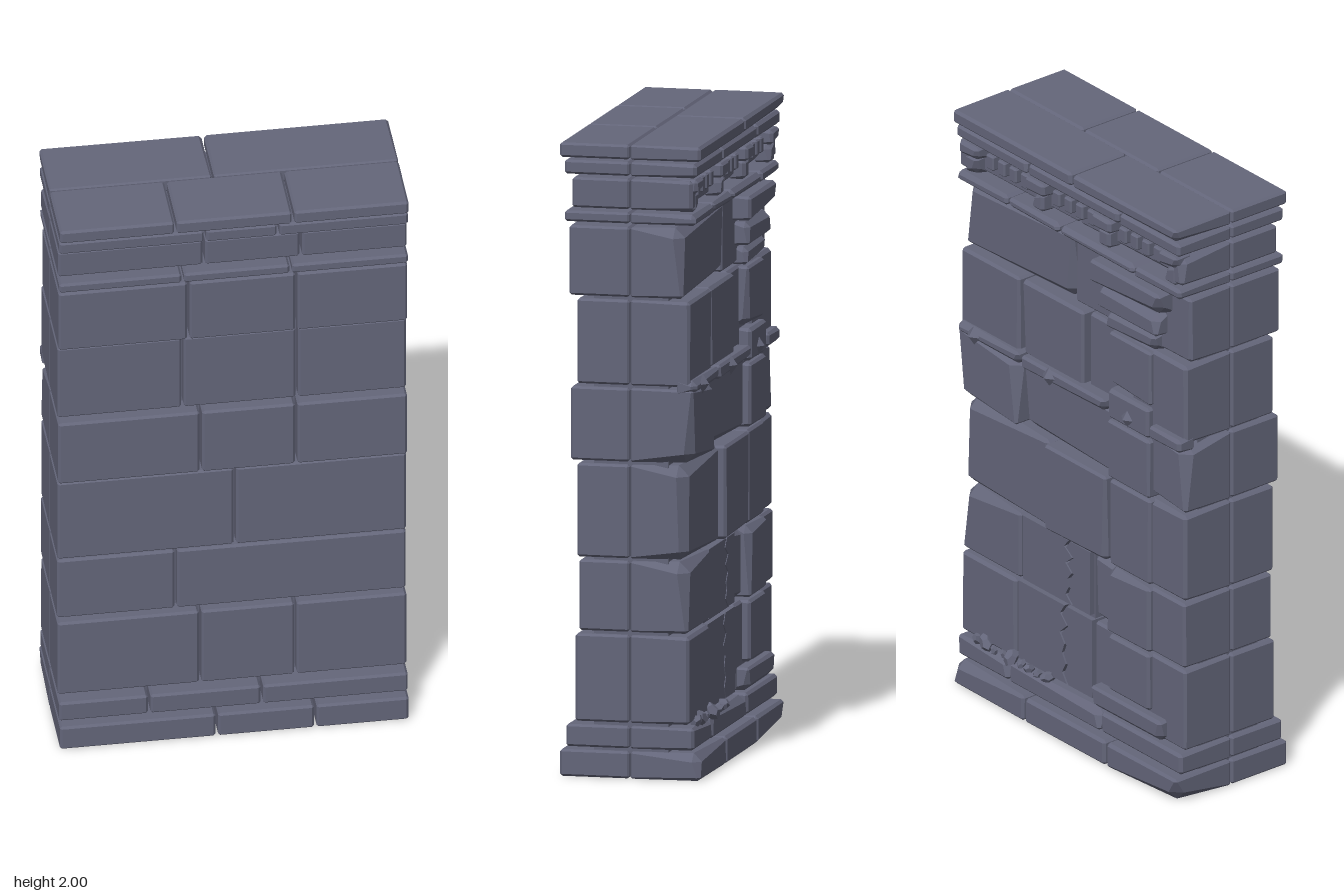
import * as THREE from 'three';
import { ConvexGeometry } from 'three/addons/geometries/ConvexGeometry.js';

const stone = new THREE.MeshStandardMaterial({ color: 0x64667a, flatShading: true });

let seed = 7;
const rand = () => (seed = (seed * 16807) % 2147483647) / 2147483647;

function add(parent, geometry, name) {
  const mesh = new THREE.Mesh(geometry, stone);
  mesh.name = name;
  parent.add(mesh);
  return mesh;
}

// Chamfered stone: each corner has its own cut, so a big cut reads as a chip.
function block(parent, name, [x0, x1], [y0, y1], [z0, z1], cut = () => 0.007) {
  const pts = [];
  const limit = Math.min(x1 - x0, y1 - y0, z1 - z0) * 0.4;
  for (const i of [0, 1]) for (const j of [0, 1]) for (const k of [0, 1]) {
    const c = Math.min(limit, cut(i, j, k));
    const inset = (ax, ay, az) => new THREE.Vector3(
      i ? x1 - ax : x0 + ax, j ? y1 - ay : y0 + ay, k ? z1 - az : z0 + az);
    pts.push(inset(0, c, c), inset(c, 0, c), inset(c, c, 0));
  }
  return add(parent, new ConvexGeometry(pts), name);
}

// Worn edges on the decorated back: outer corners get random chips.
const worn = (i, j, k) => (k ? 0.005 : rand() < 0.22 ? 0.016 + rand() * 0.02 : 0.007 + rand() * 0.004);

// One row of stones from x = -0.55 to 0.55, split at the joints.
function row(parent, name, y, joints, span, cut, skip = -1) {
  const xs = [-0.553, ...joints, 0.553];
  for (let i = 0; i < xs.length - 1; i++) {
    if (i === skip) continue;
    const z = typeof span[0] === 'number' ? span : span[i];
    block(parent, name, [xs[i] + 0.004, xs[i + 1] - 0.004], y, z, cut);
  }
}

// A stone split in two by a jagged crack.
function crackedBlock(parent, x0, x1, y0, y1, xc, depth) {
  const crack = [];
  for (let i = 0; i <= 8; i++) {
    crack.push([xc + (i % 2 ? 0.014 : -0.012) + (rand() - 0.5) * 0.02, y0 + (y1 - y0) * i / 8]);
  }
  for (const side of [-1, 1]) {
    const edge = side < 0 ? x0 + 0.004 : x1 - 0.004;
    const pts = [[edge, y0], ...crack.map(([x, y]) => [x + side * 0.005, y]), [edge, y1]];
    const shape = new THREE.Shape(pts.map(([x, y]) => new THREE.Vector2(x, y)));
    const geo = new THREE.ExtrudeGeometry(shape, { depth: depth - 0.003, bevelEnabled: false });
    geo.translate(0, 0, -depth);
    add(parent, geo, 'crackedStone');
  }
}

export function createModel() {
  seed = 7;
  const model = new THREE.Group();
  model.name = 'stoneWall';
  const group = name => {
    const g = new THREE.Group();
    g.name = name;
    model.add(g);
    return g;
  };

  // Hidden fill behind the joints
  add(model, new THREE.BoxGeometry(1.06, 1.68, 0.24).translate(0, 0.88, 0), 'core');

  // Courses: y range, front depth, front joints, back depth(s), back joints
  const courses = [
    [[0, 0.085], 0.225, [-0.055, 0.255], 0.225, [-0.2, 0.2]],
    [[0.095, 0.165], 0.205, [-0.265, 0.09], 0.205, [-0.15, 0.3]],
    [[0.176, 0.452], 0.175, [-0.1, 0.2], [0.187, 0.178, 0.18, 0.19], [-0.28, -0.09, 0.28]],
    [[0.463, 0.686], 0.163, [-0.175], [0.19, 0.175, 0.18, 0.186], [-0.28, -0.08, 0.26]],
    [[0.695, 0.99], 0.17, [0.01], [0.187, 0.205, 0.183], [-0.18, 0.13]],
    [[1.0, 1.232], 0.19, [-0.1, 0.2], [0.186, 0.18, 0.203], [-0.28, 0.26]],
    [[1.242, 1.51], 0.17, [-0.155, 0.205], [0.185, 0.168, 0.188, 0.192], [-0.28, -0.05, 0.26]],
    [[1.52, 1.74], 0.195, [-0.14, 0.2], [0.165, 0.165, 0.17], [-0.28, 0.02]],
    [[1.752, 1.786], 0.21, [-0.16, 0.18], 0.21, [-0.32, 0.05, 0.3]],
    [[1.797, 1.892], 0.185, [-0.09, 0.215], [0.2, 0.165, 0.165, 0.2], [-0.49, 0, 0.49]],
    [[1.902, 1.946], 0.21, [-0.09, 0.14], 0.213, [-0.25, 0.2]],
    [[1.954, 2.0], 0.225, [-0.185, 0.185], 0.226, [-0.035]],
  ];
  const front = group('frontStones');
  const back = group('backStones');
  courses.forEach(([y, zf, jf, zb, jb], n) => {
    row(front, 'frontStone', y, jf, [0.002, zf]);
    const spans = Array.isArray(zb) ? zb.map(z => [-z, -0.002]) : [-zb, -0.002];
    row(back, 'backStone', y, jb, spans, worn, n === 2 || n === 3 ? 2 : -1);
  });
  crackedBlock(back, -0.09, 0.28, 0.18, 0.45, 0.05, 0.182);
  crackedBlock(back, -0.08, 0.26, 0.465, 0.684, 0.03, 0.182);
  add(back, new THREE.BoxGeometry(0.34, 0.49, 0.16).translate(0.09, 0.43, -0.084), 'crackFill');

  // Pilaster on the back: stepped base, stacked shaft, stepped capital
  const pilaster = group('pilaster');
  const px = -0.29;
  const pilasterStones = [
    [0.17, 0.178, 0.25, 0.218], [0.1, 0.258, 0.452, 0.205], [0.105, 0.463, 0.686, 0.208],
    [0.1, 0.695, 0.99, 0.2], [0.103, 1.0, 1.2, 0.207], [0.1, 1.208, 1.31, 0.208],
    [0.102, 1.32, 1.505, 0.2], [0.12, 1.515, 1.57, 0.2], [0.145, 1.58, 1.652, 0.212],
    [0.17, 1.662, 1.738, 0.224],
  ];
  for (const [half, y0, y1, z] of pilasterStones) {
    block(pilaster, 'pilasterStone', [px - half, px + half], [y0, y1], [-z, -0.15], worn);
  }

  // String course with diamond bosses
  const band = group('stringCourse');
  for (const x of [[-0.55, -0.4], [-0.175, 0.23], [0.245, 0.55]]) {
    block(band, 'bandStone', x, [1.218, 1.262], [-0.213, -0.15], worn);
  }
  for (const x of [-0.29, 0.09, 0.46]) {
    const boss = add(band, new THREE.ConeGeometry(0.032, 0.022, 4).rotateX(-Math.PI / 2), 'diamondBoss');
    boss.position.set(x, 1.242, x < -0.2 ? -0.216 : -0.222);
  }

  // Frieze: tapered brackets with dentils between them
  const frieze = group('frieze');
  for (let i = 0; i < 4; i++) {
    const x = -0.49 + i * 0.327;
    block(frieze, 'bracketTop', [x - 0.045, x + 0.045], [1.85, 1.895], [-0.214, -0.15], worn);
    block(frieze, 'bracketFoot', [x - 0.028, x + 0.028], [1.79, 1.85], [-0.202, -0.15], worn);
    for (let d = 1; i < 3 && d < 5; d++) {
      const dx = x + 0.022 + d * 0.0565;
      block(frieze, 'dentil', [dx - 0.018, dx + 0.018], [1.83, 1.88], [-0.19, -0.15], () => 0.005);
    }
  }

  // Loose rubble on the plinth
  const rubble = group('rubble');
  for (let i = 0; i < 9; i++) {
    const r = 0.012 + rand() * 0.016;
    const rock = add(rubble, new THREE.DodecahedronGeometry(r), 'rock');
    rock.position.set(0.12 + i * 0.043, 0.163 + r * 0.7, -0.19 - rand() * 0.012);
    rock.rotation.set(rand() * 3, rand() * 3, rand() * 3);
    rock.scale.set(1.3, 0.9, 0.9);
  }
  return model;
}
